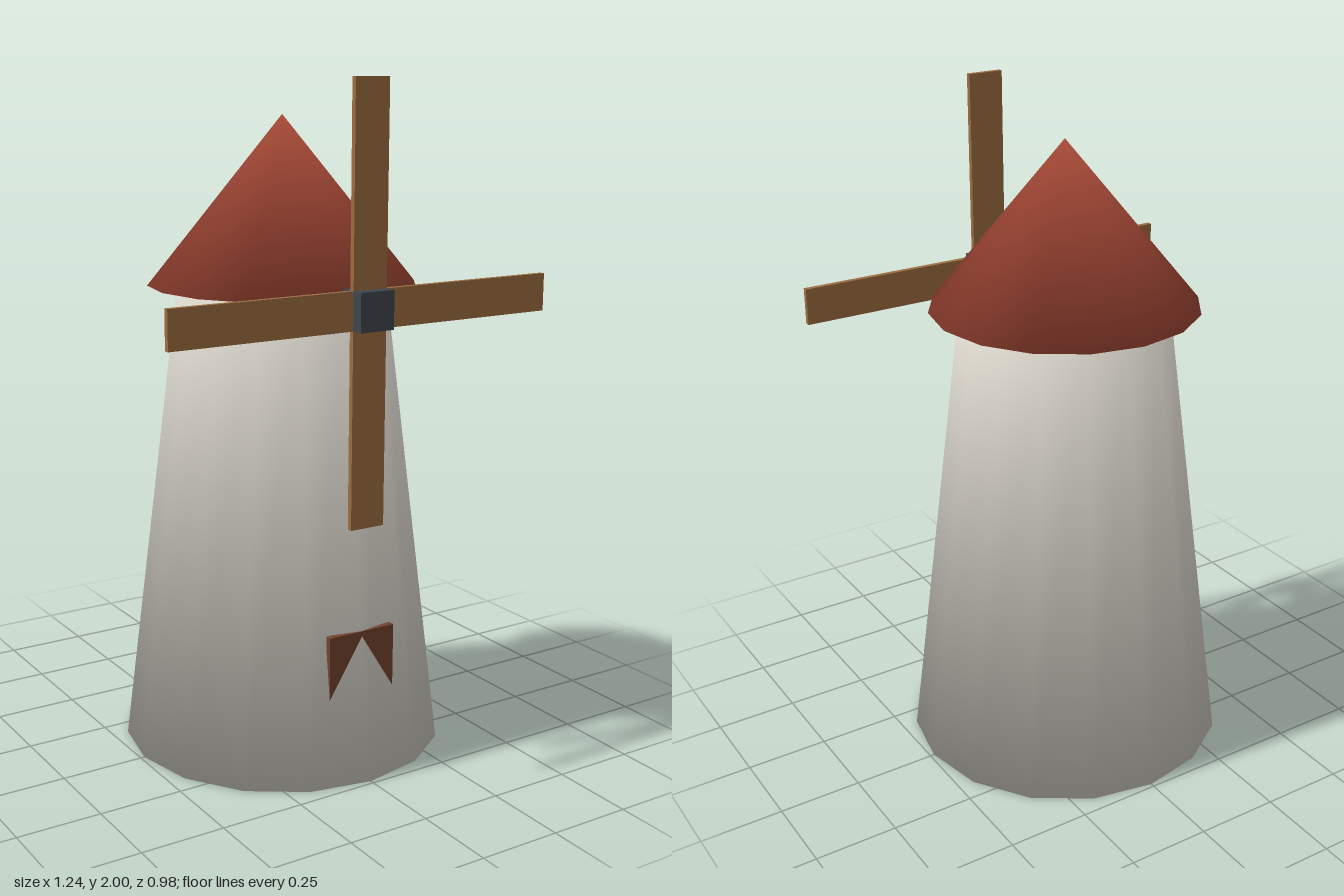
import * as THREE from 'three';

const SIDES = 16;

const paint = (name, color) => {
  const m = new THREE.MeshStandardMaterial({ color });
  m.name = name;
  return m;
};

// Smooth normals over shared corners, each face weighted by its corner angle
function softenNormals(geo) {
  const pos = geo.attributes.position, idx = geo.index.array;
  const normals = Array.from({ length: pos.count }, () => new THREE.Vector3());
  const at = i => new THREE.Vector3().fromBufferAttribute(pos, i);
  for (let f = 0; f < idx.length; f += 3) {
    for (let k = 0; k < 3; k++) {
      const i = idx[f + k];
      const u = at(idx[f + (k + 1) % 3]).sub(at(i));
      const v = at(idx[f + (k + 2) % 3]).sub(at(i));
      normals[i].addScaledVector(u.clone().cross(v).normalize(), u.angleTo(v));
    }
  }
  const flat = normals.flatMap(n => n.normalize().toArray());
  geo.setAttribute('normal', new THREE.Float32BufferAttribute(flat, 3));
  return geo;
}

// Closed tapered solid from a bottom ring to a top ring; a top radius of 0 makes a point
function taperedSolid(bottomRadius, topRadius, y0, y1) {
  const points = [], faces = [];
  const ring = (r, y) => {
    for (let i = 0; i < SIDES; i++) {
      const a = i / SIDES * Math.PI * 2;
      points.push(Math.sin(a) * r, y, Math.cos(a) * r);
    }
  };
  ring(bottomRadius, y0);
  if (topRadius > 0) ring(topRadius, y1);
  else points.push(0, y1, 0);
  for (let i = 0; i < SIDES; i++) {
    const j = (i + 1) % SIDES;
    if (topRadius > 0) faces.push(i, j, SIDES + j, i, SIDES + j, SIDES + i);
    else faces.push(i, j, SIDES);
  }
  for (let i = 1; i < SIDES - 1; i++) {
    faces.push(0, i + 1, i);
    if (topRadius > 0) faces.push(SIDES, SIDES + i, SIDES + i + 1);
  }
  const geo = new THREE.BufferGeometry();
  geo.setAttribute('position', new THREE.Float32BufferAttribute(points, 3));
  geo.setIndex(faces);
  return softenNormals(geo);
}

export function createModel() {
  const plaster = paint('plaster', 0xd6d2c8);
  const tile = paint('roofTile', 0xa84a37);
  const wood = paint('sailWood', 0x9c6e42);
  const darkWood = paint('doorWood', 0x74432f);
  const iron = paint('hubIron', 0x3f464d);

  const model = new THREE.Group();
  model.name = 'windmill';
  const add = (parent, name, geo, mat, x = 0, y = 0, z = 0) => {
    const mesh = new THREE.Mesh(geo, mat);
    mesh.name = name;
    mesh.position.set(x, y, z);
    parent.add(mesh);
    return mesh;
  };

  // Tower and overhanging pointed roof
  add(model, 'tower', taperedSolid(0.488, 0.312, 0, 1.4), plaster);
  add(model, 'roof', taperedSolid(0.4, 0, 1.4, 1.89), tile);

  // Upright door slab, mostly sunk into the sloping wall
  add(model, 'door', new THREE.BoxGeometry(0.22, 0.443, 0.02), darkWood, 0, 0.2235, 0.424);

  // Rotor: hub and four sails
  const rotor = new THREE.Group();
  rotor.name = 'rotor';
  rotor.position.set(0, 1.38, 0.444);
  model.add(rotor);
  add(rotor, 'hub', new THREE.BoxGeometry(0.11, 0.11, 0.088), iron);
  for (let i = 0; i < 4; i++) {
    const a = i * Math.PI / 2;
    const sail = add(rotor, 'sail' + (i + 1), new THREE.BoxGeometry(0.11, 0.57, 0.016), wood,
      -Math.sin(a) * 0.335, Math.cos(a) * 0.335, 0);
    sail.rotation.z = a;
  }

  return model;
}
